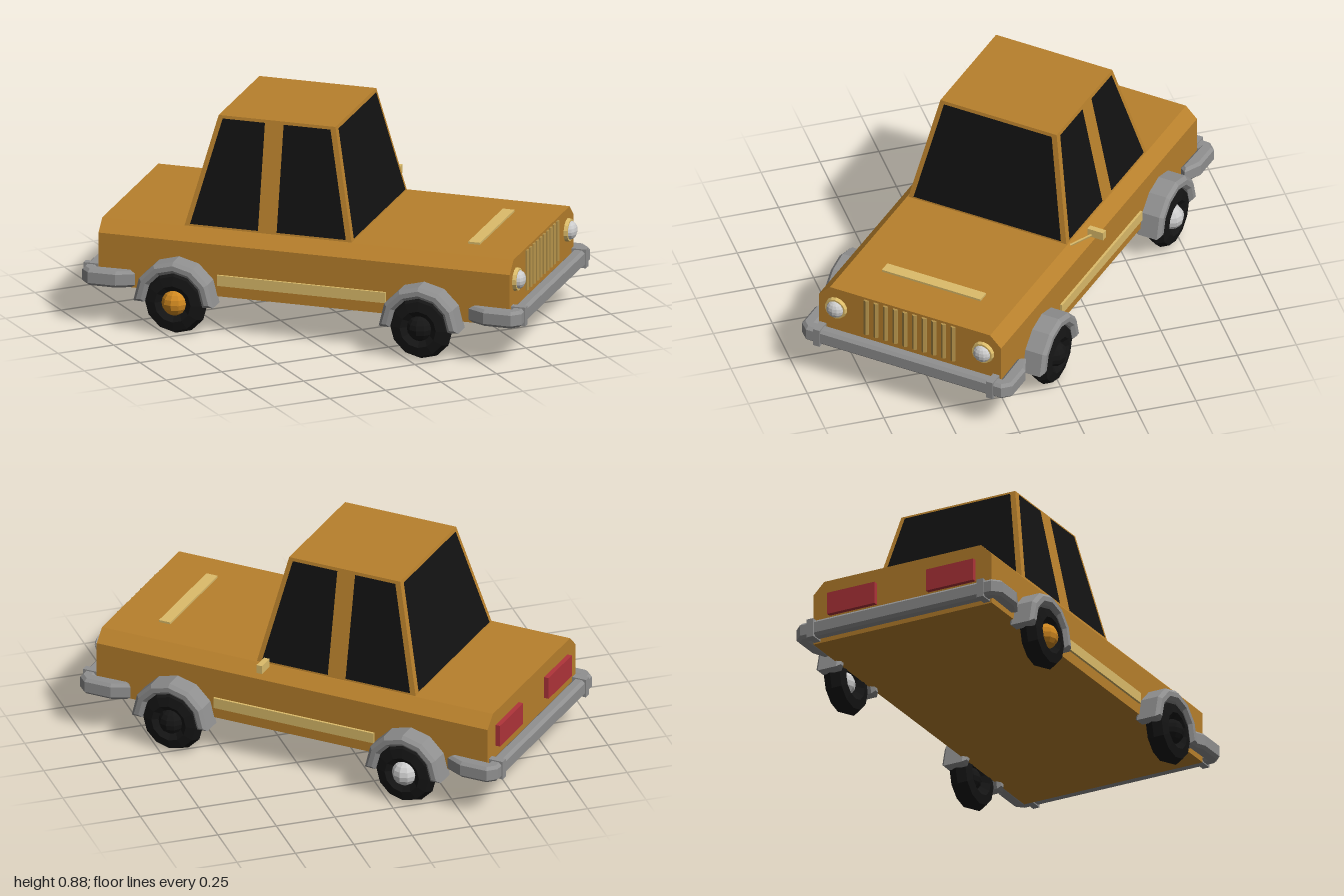
import * as THREE from 'three';

const mat = (color, extra = {}) => new THREE.MeshStandardMaterial({ color, flatShading: true, ...extra });
const paint = mat(0xb8802c), cream = mat(0xdcbc6a), grey = mat(0x909090), black = mat(0x151515);
const silver = mat(0xcccccc), orange = mat(0xd08820), red = mat(0xb0343a);
const glass = mat(0x121212, { side: THREE.DoubleSide });

export function createModel() {
  const model = new THREE.Group();
  model.name = 'car';
  const car = new THREE.Group();
  car.name = 'carBody';
  car.rotation.y = THREE.MathUtils.degToRad(46.5); // parked at an angle
  model.add(car);

  const add = (name, geometry, material, x = 0, y = 0, z = 0, parent = car) => {
    const mesh = new THREE.Mesh(geometry, material);
    mesh.name = name;
    mesh.position.set(x, y, z);
    parent.add(mesh);
    return mesh;
  };
  const box = (name, w, h, d, material, x, y, z) => add(name, new THREE.BoxGeometry(w, h, d), material, x, y, z);
  const polygon = (pts) => new THREE.Shape(pts.map(([x, y]) => new THREE.Vector2(x, y)));

  // Lower body: chamfered profile run along the length
  const profile = polygon([[-0.415, 0.16], [0.415, 0.16], [0.415, 0.38], [0.365, 0.43], [-0.365, 0.43], [-0.415, 0.38]]);
  add('lowerBody', new THREE.ExtrudeGeometry(profile, { depth: 1.76, bevelEnabled: false }), paint, 0, 0, -0.88);

  // Cabin: box tapered towards the roof
  const Y0 = 0.43, Y1 = 0.885;
  const mix = THREE.MathUtils.lerp;
  const halfW = (t) => mix(0.36, 0.265, t);
  const front = (t) => mix(0.185, 0.085, t);
  const rear = (t) => mix(-0.53, -0.415, t);
  const cabin = new THREE.BoxGeometry(2, 1, 2);
  const p = cabin.attributes.position;
  for (let i = 0; i < p.count; i++) {
    const t = p.getY(i) + 0.5;
    p.setXYZ(i, p.getX(i) * halfW(t), mix(Y0, Y1, t), p.getZ(i) > 0 ? front(t) : rear(t));
  }
  cabin.computeVertexNormals();
  add('cabin', cabin, paint);

  // Windows: quads lying just outside the tapered cabin faces
  const LO = 0.02, HI = 0.975, GAP = 0.004, EDGE = 0.022;
  const pane = (name, corner) => {
    const [a, b, c, d] = [[0, LO], [1, LO], [1, HI], [0, HI]].map(([u, t]) => corner(u, t));
    const g = new THREE.BufferGeometry().setFromPoints([a, b, c, a, c, d]);
    g.computeVertexNormals();
    add(name, g, glass);
  };
  const point = (x, t, z) => new THREE.Vector3(x, mix(Y0, Y1, t), z);
  const across = (u, t) => (u * 2 - 1) * (halfW(t) - EDGE);
  pane('windshield', (u, t) => point(across(u, t), t, front(t) + GAP));
  pane('rearWindow', (u, t) => point(-across(u, t), t, rear(t) - GAP));
  for (const s of [-1, 1]) {
    const side = s > 0 ? 'left' : 'right';
    pane(side + 'FrontWindow', (u, t) => point(s * (halfW(t) + GAP), t, u ? -0.135 : front(t) - EDGE));
    pane(side + 'RearWindow', (u, t) => point(s * (halfW(t) + GAP), t, u ? rear(t) + EDGE : -0.215));
  }

  // Bumpers: bevelled U shapes wrapping around both ends
  const half = [[0.44, 0.73], [0.468, 0.79], [0.468, 0.9], [0.44, 0.928]];
  const inner = [[0.432, 0.897], [0.428, 0.74]];
  const flip = (pts) => pts.map(([x, z]) => [-x, z]).reverse();
  const uShape = polygon([...half, ...flip(half), ...flip(inner), ...inner].map(([x, z]) => [x, z]));
  const bumper = new THREE.ExtrudeGeometry(uShape, { depth: 0.046, bevelSize: 0.012, bevelThickness: 0.012, bevelSegments: 1 });
  bumper.rotateX(Math.PI / 2).translate(0, 0.228, 0);
  for (const end of [1, -1]) {
    const name = end > 0 ? 'front' : 'rear';
    add(name + 'Bumper', bumper, grey).rotation.y = end > 0 ? 0 : Math.PI;
    for (const s of [-1, 1]) {
      box(name + 'BumperBracket', 0.03, 0.08, 0.062, grey, s * 0.395, 0.205, end * 0.914);
    }
  }

  // Wheels with domed hubs, and the arches above them
  const tyre = new THREE.TorusGeometry(0.088, 0.047, 7, 12).rotateY(Math.PI / 2);
  const hub = new THREE.SphereGeometry(0.054, 10, 8);
  const arc = (r) => Array.from({ length: 7 }, (_, i) => [r * Math.cos(i * Math.PI / 6), r * Math.sin(i * Math.PI / 6)]);
  const archShape = polygon([...arc(0.155), ...arc(0.135).reverse()]);
  const arch = new THREE.ExtrudeGeometry(archShape, { depth: 0.085, bevelSize: 0.014, bevelThickness: 0.014, bevelSegments: 1 });
  arch.rotateY(-Math.PI / 2).translate(0.0425, 0, 0);
  const wheels = [
    ['frontLeft', 1, 0.515, black], ['frontRight', -1, 0.515, black],
    ['rearLeft', 1, -0.535, silver], ['rearRight', -1, -0.535, orange],
  ];
  for (const [name, s, z, hubMaterial] of wheels) {
    const wheel = new THREE.Group();
    wheel.name = name + 'Wheel';
    wheel.position.set(s * 0.457, 0.135, z);
    car.add(wheel);
    add('tyre', tyre, black, 0, 0, 0, wheel);
    add('hub', hub, hubMaterial, s * 0.015, 0, 0, wheel);
    add(name + 'Arch', arch, grey, s * 0.45, 0.145, z);
  }

  // Lights and side trim, mirrored
  const lens = new THREE.SphereGeometry(0.038, 12, 8).scale(1, 1, 0.7);
  const rim = new THREE.CylinderGeometry(0.046, 0.05, 0.02, 14).rotateX(Math.PI / 2);
  for (const s of [-1, 1]) {
    add('headlightRim', rim, cream, s * 0.335, 0.338, 0.885);
    add('headlight', lens, silver, s * 0.335, 0.338, 0.895);
    box('tailLight', 0.22, 0.095, 0.03, red, s * 0.23, 0.32, -0.885);
    box('sideTrim', 0.016, 0.045, 0.72, cream, s * 0.417, 0.23, -0.01);
  }

  // Grille bars and hood strip
  for (let i = 0; i < 10; i++) {
    const bar = new THREE.CylinderGeometry(0.012, 0.012, 0.17, 6);
    add('grilleBar', bar, mat(0xb4924a), -0.198 + i * 0.044, 0.335, 0.88);
  }
  box('hoodStrip', 0.45, 0.012, 0.05, cream, 0, 0.433, 0.665);

  // Mirror on the left side
  const stalk = new THREE.LineCurve3(new THREE.Vector3(0.37, 0.42, 0.17), new THREE.Vector3(0.455, 0.47, 0.11));
  add('mirrorStalk', new THREE.TubeGeometry(stalk, 1, 0.006, 5), cream);
  box('sideMirror', 0.072, 0.036, 0.025, cream, 0.46, 0.472, 0.11);

  return model;
}
